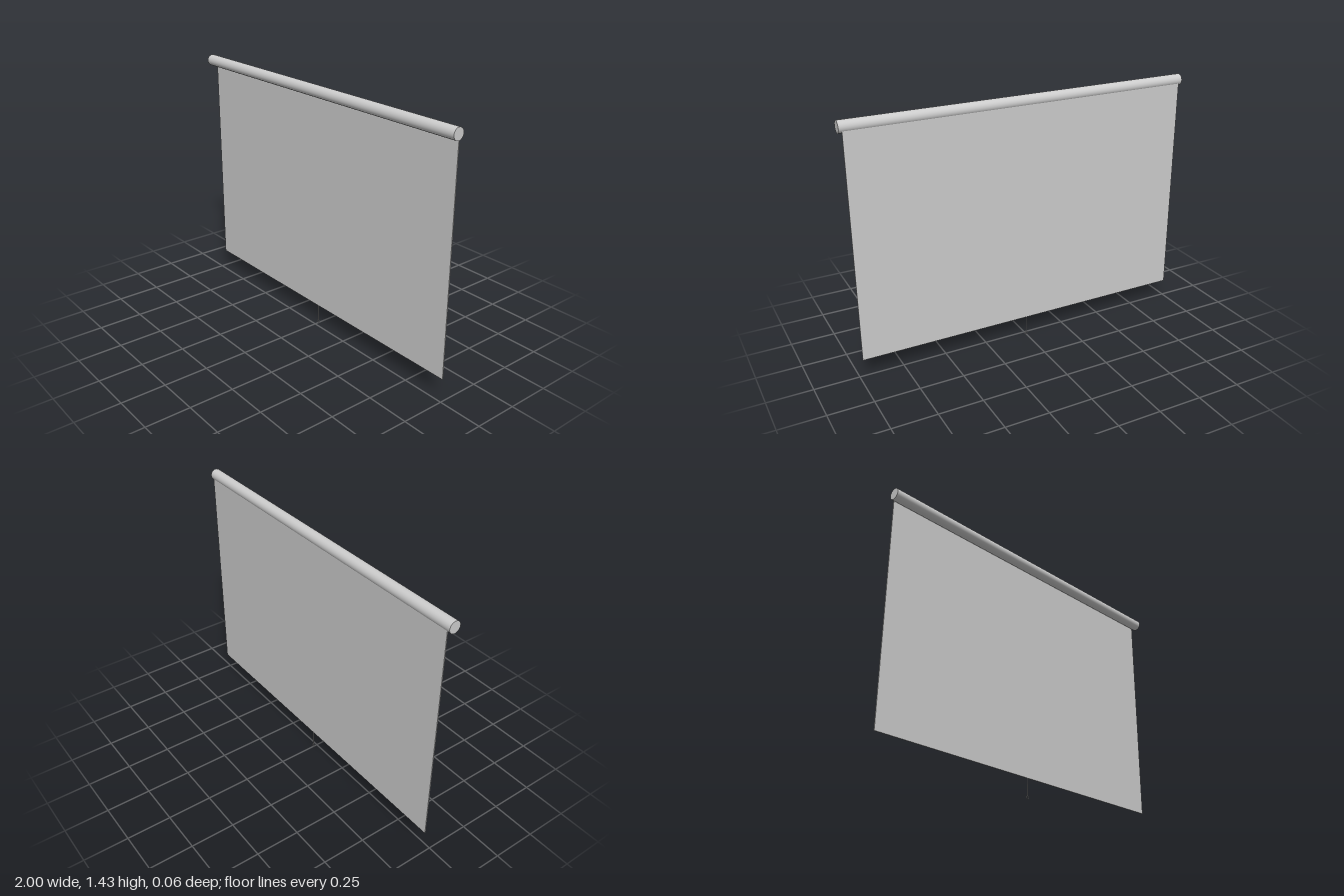
import * as THREE from 'three';

export function createModel() {
  const model = new THREE.Group();
  model.name = 'rollerScreen';
  const material = new THREE.MeshStandardMaterial({ color: 0xcccccc });
  const sheetZ = -0.025;

  const add = (name, geometry, x, y, z) => {
    const mesh = new THREE.Mesh(geometry, material);
    mesh.name = name;
    mesh.position.set(x, y, z);
    model.add(mesh);
    return mesh;
  };

  // Horizontal roller tube with flat end caps
  const radius = 0.0325;
  add('rollerTube', new THREE.CylinderGeometry(radius, radius, 2, 48).rotateZ(Math.PI / 2), 0, 1.4, 0);

  // Thin sheet hanging from the back of the tube
  const bottom = 0.115, top = 1.385;
  add('screenSheet', new THREE.BoxGeometry(1.965, top - bottom, 0.005), 0, (top + bottom) / 2, sheetZ);

  // Pull cord with a small ring at its end
  const ringRadius = 0.008, ringTube = 0.002;
  const ringY = ringRadius + ringTube;
  const cordBottom = ringY + ringRadius;
  add('pullCord', new THREE.CylinderGeometry(0.002, 0.002, bottom - cordBottom, 12), 0, (bottom + cordBottom) / 2, sheetZ);
  add('pullRing', new THREE.TorusGeometry(ringRadius, ringTube, 10, 28), 0, ringY, sheetZ);

  return model;
}
